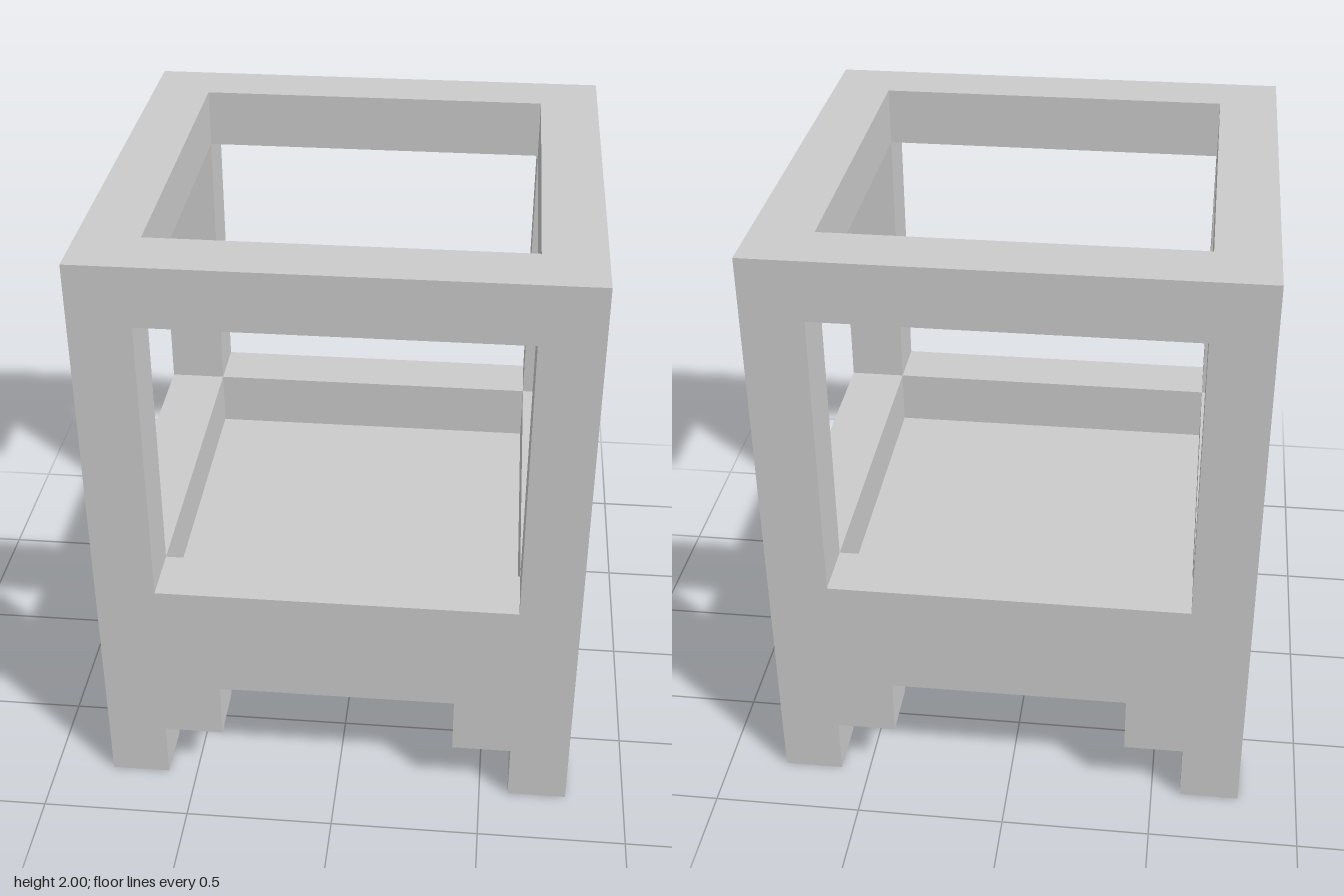
import * as THREE from 'three';

const OUTER = 0.8; // half width of the frame
const INNER = 0.6; // half width of the openings
const BAR = OUTER - INNER;
const MID = (OUTER + INNER) / 2;

const material = new THREE.MeshStandardMaterial({ color: 0xcccccc, flatShading: true });

function addMesh(parent, name, geometry, x = 0, y = 0, z = 0) {
  const mesh = new THREE.Mesh(geometry, material);
  mesh.name = name;
  mesh.position.set(x, y, z);
  parent.add(mesh);
  return mesh;
}

function squarePoints(h) {
  return [[-h, -h], [h, -h], [h, h], [-h, h]].map(([x, y]) => new THREE.Vector2(x, y));
}

// Extrudes a plan shape upwards from y = 0
function extrudeUp(shape, height) {
  return new THREE.ExtrudeGeometry(shape, { depth: height, bevelEnabled: false }).rotateX(-Math.PI / 2);
}

export function createModel() {
  const model = new THREE.Group();
  model.name = 'openFrameStand';

  // Square rings: raised rim around the tray and the top frame
  const ring = new THREE.Shape(squarePoints(OUTER));
  ring.holes.push(new THREE.Path(squarePoints(INNER)));
  const ringGeometry = extrudeUp(ring, BAR);
  addMesh(model, 'trayRim', ringGeometry, 0, 0.6, 0);
  addMesh(model, 'topFrame', ringGeometry, 0, 1.8, 0);

  // Tray floor
  addMesh(model, 'trayFloor', new THREE.BoxGeometry(2 * OUTER, 0.2, 2 * OUTER), 0, 0.5, 0);

  // L-shaped bracket, drawn for one corner and turned for the others
  const bracket = new THREE.Shape(
    [[0.4, 0.6], [0.6, 0.6], [0.6, 0.4], [0.8, 0.4], [0.8, 0.8], [0.4, 0.8]]
      .map(([x, y]) => new THREE.Vector2(x, y))
  );
  const bracketGeometry = extrudeUp(bracket, 0.2);
  const footGeometry = new THREE.BoxGeometry(BAR, 0.2, BAR);
  const postGeometry = new THREE.BoxGeometry(BAR, 1, BAR);

  // Four corners: foot, bracket and upright post
  const names = ['backLeft', 'backRight', 'frontRight', 'frontLeft'];
  names.forEach((name, i) => {
    const corner = new THREE.Group();
    corner.name = name + 'Corner';
    corner.rotation.y = i * Math.PI / 2;
    addMesh(corner, 'foot', footGeometry, MID, 0.1, -MID);
    addMesh(corner, 'bracket', bracketGeometry, 0, 0.2, 0);
    addMesh(corner, 'post', postGeometry, MID, 1.3, -MID);
    model.add(corner);
  });

  return model;
}
